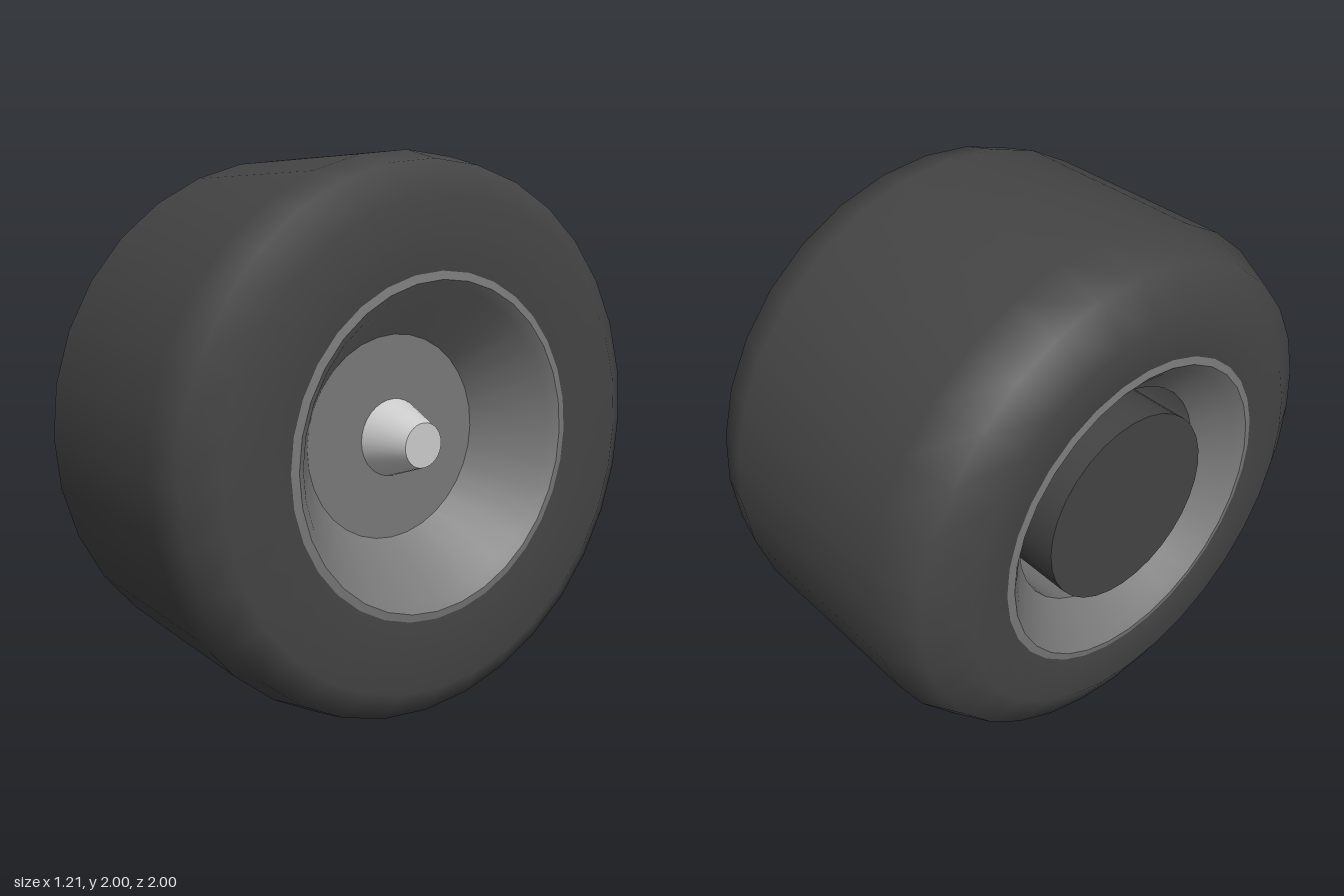
import * as THREE from 'three';
import { toCreasedNormals } from 'three/addons/utils/BufferGeometryUtils.js';

const SIDES = 32;

export function createModel() {
  const wheel = new THREE.Group();
  wheel.name = 'wheel';

  const rubber = new THREE.MeshStandardMaterial({ color: 0x444444 });
  const metal = new THREE.MeshStandardMaterial({ color: 0x797979 });
  const bright = new THREE.MeshStandardMaterial({ color: 0xcccccc });

  // All parts turn around the x axle, one unit above the ground
  function add(name, geometry, material, x = 0) {
    geometry.rotateZ(-Math.PI / 2);
    geometry.translate(x, 1, 0);
    const mesh = new THREE.Mesh(geometry, material);
    mesh.name = name;
    wheel.add(mesh);
  }

  // Profile points are [x along the axle, radius]
  const lathe = (points) =>
    new THREE.LatheGeometry(points.map(([x, r]) => new THREE.Vector2(r, x)), SIDES);

  // Tyre: rounded shoulders, the left one fuller than the right
  add('tyre', lathe([
    [-0.585, 0.6], [-0.605, 0.765], [-0.53, 0.91], [-0.37, 0.985],
    [0.39, 0.998], [0.535, 0.965], [0.605, 0.855], [0.585, 0.6],
  ]), rubber);

  // Outer rim: rolled lip and dish down to the hub face
  add('outerRim', toCreasedNormals(lathe([
    [0.585, 0.605], [0.59, 0.575], [0.56, 0.54], [0.33, 0.37],
  ]), 0.7), metal);

  // Inner rim: lip, short dish and barrel around the drum
  add('innerRim', toCreasedNormals(lathe([
    [0.3, 0.43], [-0.45, 0.43], [-0.56, 0.54], [-0.59, 0.575], [-0.585, 0.605],
  ]), 0.7), metal);

  // Flat hub face closing the outer dish
  add('hubFace', new THREE.CylinderGeometry(0.375, 0.375, 0.03, SIDES), metal, 0.315);

  // Drum filling the inside of the wheel
  add('drum', new THREE.CylinderGeometry(0.37, 0.37, 0.84, SIDES), rubber, -0.12);

  // Tapered axle cap
  add('axleCap', new THREE.CylinderGeometry(0.08, 0.14, 0.17, SIDES), bright, 0.415);

  return wheel;
}
